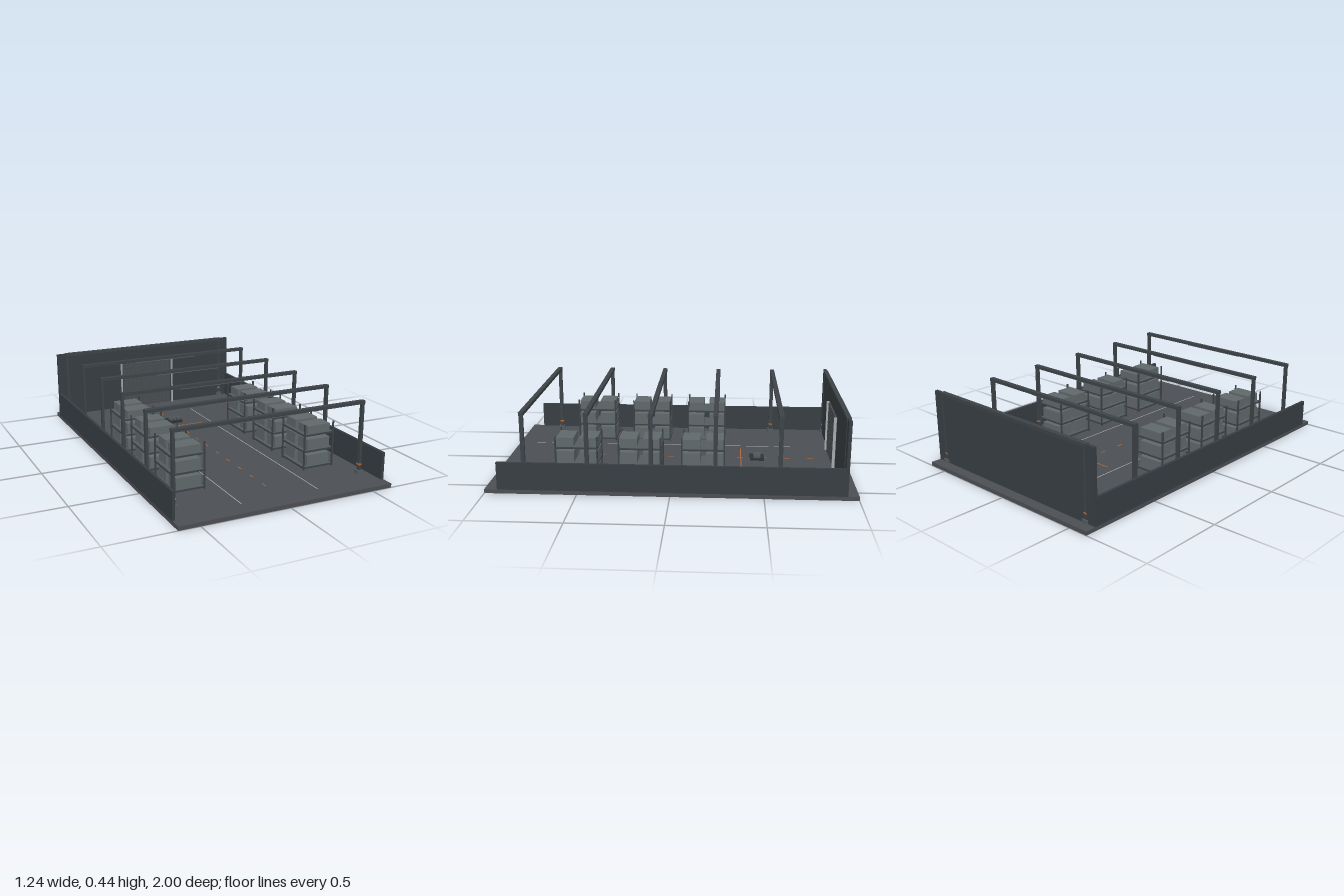
import * as THREE from 'three';

const mat = (color) => new THREE.MeshStandardMaterial({ color });

export function createModel() {
  const root = new THREE.Group();
  root.name = 'warehouse';
  const M = {
    floor: mat(0x4b4e52), wall: mat(0x373d42), steel: mat(0x3c4246), base: mat(0x53595c),
    door: mat(0x474c50), pale: mat(0xa4a9aa), crate: mat(0x5f676a), dark: mat(0x2c3235),
    orange: mat(0xb8642f), deck: mat(0x525c60), lamp: mat(0x62686a),
  };

  // Box given by its size and centre
  const box = (parent, name, material, w, h, d, x, y, z) => {
    const mesh = new THREE.Mesh(new THREE.BoxGeometry(w, h, d), material);
    mesh.name = name;
    mesh.position.set(x, y, z);
    parent.add(mesh);
    return mesh;
  };
  const group = (name, x = 0, z = 0) => {
    const g = new THREE.Group();
    g.name = name;
    g.position.set(x, 0, z);
    root.add(g);
    return g;
  };
  const FLOOR = 0.022;

  // Slab and walls
  box(root, 'floor', M.floor, 1.236, FLOOR, 2, 0, FLOOR / 2, 0);
  box(root, 'backWall', M.wall, 1.236, 0.412, 0.018, 0, FLOOR + 0.206, -0.931);
  for (const s of [-1, 1]) {
    box(root, 'sideWall', M.wall, 0.016, 0.153, 1.86, s * 0.61, FLOOR + 0.0765, 0);
  }

  // Portal frames with feet, orange bands and a lamp under each beam
  for (let i = 0; i < 6; i++) {
    const frame = group('portalFrame', 0, 0.795 - i * 0.345);
    for (const s of [-1, 1]) {
      box(frame, 'post', M.steel, 0.015, 0.4, 0.022, s * 0.553, 0.222, 0);
      box(frame, 'foot', M.base, 0.036, 0.02, 0.036, s * 0.553, FLOOR + 0.01, 0);
      box(frame, 'warningBand', M.orange, 0.018, 0.009, 0.025, s * 0.553, 0.075, 0);
    }
    box(frame, 'beam', M.steel, 1.124, 0.018, 0.026, 0, 0.428, 0);
    box(frame, 'lamp', M.lamp, 0.41, 0.006, 0.014, 0, 0.417, 0);
  }

  // Roller door: backing, slats and jambs
  const door = group('rollerDoor', 0, -0.918);
  box(door, 'doorPanel', M.door, 0.344, 0.303, 0.006, 0, FLOOR + 0.1515, 0);
  const slats = 14, pitch = 0.303 / slats;
  for (let i = 0; i < slats; i++) {
    box(door, 'slat', M.door, 0.34, pitch * 0.82, 0.004, 0, FLOOR + (i + 0.5) * pitch, 0.005);
  }
  for (const s of [-1, 1]) {
    box(door, 'jamb', M.pale, 0.007, 0.308, 0.016, s * 0.184, FLOOR + 0.154, 0.009);
  }

  // Storage racks: uprights, rails, decks and two crates per level
  const levels = [[0.035, 0.066], [0.129, 0.063], [0.222, 0.047]];
  for (const s of [-1, 1]) for (const z of [-0.172, 0.172, 0.518]) {
    const rack = group('rack', s * 0.394, z);
    for (const px of [-0.091, 0.091]) for (const pz of [-0.114, 0.114]) {
      box(rack, 'upright', M.steel, 0.008, 0.262, 0.008, px, FLOOR + 0.131, pz);
    }
    for (const [y, h] of levels) {
      box(rack, 'deck', M.deck, 0.178, 0.004, 0.226, 0, y + 0.001, 0);
      for (const e of [-1, 1]) {
        box(rack, 'crossRail', M.steel, 0.192, 0.009, 0.007, 0, y - 0.002, e * 0.114);
        box(rack, 'sideRail', M.steel, 0.007, 0.009, 0.232, e * 0.091, y - 0.002, 0);
        box(rack, 'crate', M.crate, 0.141, h, 0.096, 0, y + 0.003 + h / 2, e * 0.064);
      }
    }
  }

  // Floor markings
  const paint = (name, m, w, d, x, z) => box(root, name, m, w, 0.001, d, x, FLOOR + 0.0006, z);
  for (const s of [-1, 1]) paint('laneLine', M.pale, 0.005, 1.585, s * 0.225, 0.1);
  for (let i = 0; i < 12; i++) paint('centreDash', M.orange, 0.006, 0.037, 0, -0.795 + i * 0.138);
  paint('stopLine', M.orange, 0.344, 0.006, 0, -0.385);

  // Low pallet with three small loads
  const pallet = group('pallet', 0.011, -0.48);
  box(pallet, 'palletBase', M.dark, 0.086, 0.015, 0.082, 0, FLOOR + 0.0075, 0);
  for (const i of [-1, 0, 1]) {
    box(pallet, 'load', M.base, 0.018, 0.015, 0.042, i * 0.025, FLOOR + 0.0225, 0);
  }
  return root;
}
